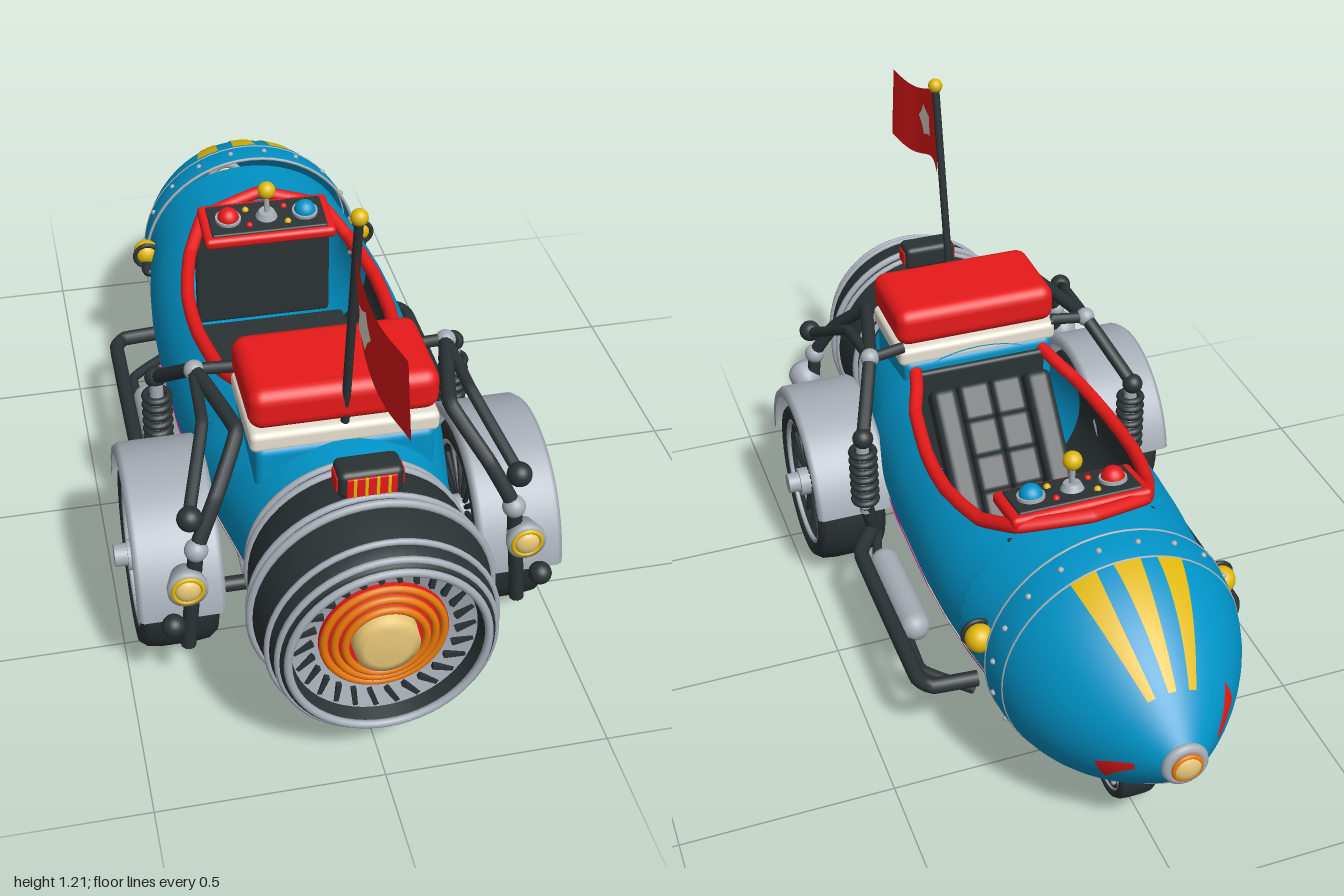
import * as THREE from 'three';
import { RoundedBoxGeometry } from 'three/addons/geometries/RoundedBoxGeometry.js';

const mat = (name, color) => new THREE.MeshStandardMaterial({ name, color, side: THREE.DoubleSide });
const V = (x, y, z) => new THREE.Vector3(x, y, z);
const CY = 0.36; // height of the hull axis

// linear lookup in a table of [z, value]
function lerpTable(t, z) {
  if (z <= t[0][0]) return t[0][1];
  for (let i = 1; i < t.length; i++) {
    if (z <= t[i][0]) return THREE.MathUtils.mapLinear(z, t[i - 1][0], t[i][0], t[i - 1][1], t[i][1]);
  }
  return t[t.length - 1][1];
}
const RX = [[-0.62, 0.272], [-0.5, 0.285], [-0.4, 0.3], [-0.28, 0.311], [-0.15, 0.315], [0.1, 0.31], [0.35, 0.29], [0.55, 0.25], [0.68, 0.225]];
const RY = [[-0.62, 0.23], [-0.45, 0.24], [-0.15, 0.25], [0.35, 0.245], [0.55, 0.235], [0.68, 0.222]];
const OPEN = [[-0.4, 0.44], [-0.3, 0.7], [-0.15, 0.84], [0, 0.87], [0.2, 0.78], [0.33, 0.6]];
const hull = (z, th, k = 1) => V(k * lerpTable(RX, z) * Math.sin(th), CY + k * lerpTable(RY, z) * Math.cos(th), z);
const noseR = z => 0.292 * (1 - ((-0.55 - z) / 0.46) ** 2);
const flagX = z => -0.018 * Math.sin((z - 0.64) * 11.5);

// grid surface from a rule fn(u, v)
function surface(nu, nv, fn) {
  const g = new THREE.PlaneGeometry(1, 1, nu, nv), p = g.attributes.position;
  for (let i = 0; i < p.count; i++) {
    const q = fn(p.getX(i) + 0.5, p.getY(i) + 0.5);
    p.setXYZ(i, q.x, q.y, q.z);
  }
  g.computeVertexNormals();
  return g;
}
const lathe = (pts, seg = 48, a = 0, l = Math.PI * 2) => new THREE.LatheGeometry(pts.map(p => new THREE.Vector2(...p)), seg, a, l);

export function createModel() {
  const root = new THREE.Group();
  const blue = mat('hull blue', 0x0094c8), red = mat('red', 0xe81a1a), silver = mat('silver', 0xa6adb6);
  const dark = mat('charcoal', 0x2b3335), cream = mat('cream', 0xe8e1d2), yellow = mat('yellow', 0xe0b80a);
  const pink = mat('magenta', 0xd0148c), orange = mat('orange', 0xec7a0a), gold = mat('pale gold', 0xe6c678);
  const plate = mat('floor grey', 0x6c7175);

  const add = (name, geo, m, x = 0, y = 0, z = 0, parent = root) => {
    const o = new THREE.Mesh(geo, m);
    o.name = name; o.position.set(x, y, z); parent.add(o);
    return o;
  };
  const box = (name, w, h, d, m, x, y, z, r = 0.01) => add(name, new RoundedBoxGeometry(w, h, d, 3, r), m, x, y, z);
  const ball = (name, r, m, x, y, z) => add(name, new THREE.SphereGeometry(r, 20, 14), m, x, y, z);
  const ring = (name, r, t, m, z, y = CY, x = 0) => add(name, new THREE.TorusGeometry(r, t, 10, 56), m, x, y, z);
  const tube = (name, pts, r, m) => add(name, new THREE.TubeGeometry(
    new THREE.CatmullRomCurve3(pts.map(p => V(...p)), false, 'catmullrom', 0.1), pts.length * 10, r, 10), m);
  const rod = (name, r, len, axis, m, x, y, z, seg = 24) => {
    const o = add(name, new THREE.CylinderGeometry(r, r, len, seg), m, x, y, z);
    if (axis === 'x') o.rotation.z = Math.PI / 2;
    if (axis === 'z') o.rotation.x = Math.PI / 2;
    return o;
  };

  // hull in three lengths, the middle one open for the cockpit
  const shell = (z0, z1, open, k) => surface(56, 24, (u, v) => {
    const z = z0 + (z1 - z0) * v, a = open ? lerpTable(OPEN, z) : 0;
    return hull(z, a + (Math.PI * 2 - 2 * a) * u, k);
  });
  add('hullFront', shell(-0.62, -0.4, false, 1), blue);
  add('hullMiddle', shell(-0.4, 0.33, true, 1), blue);
  add('hullRear', shell(0.33, 0.68, false, 1), blue);
  add('cockpitLining', shell(-0.4, 0.33, true, 0.96), dark);
  box('cockpitFloor', 0.44, 0.02, 0.72, dark, 0, 0.24, -0.03);
  box('frontBulkhead', 0.36, 0.3, 0.02, dark, 0, 0.41, -0.385);
  box('rearBulkhead', 0.34, 0.3, 0.02, dark, 0, 0.42, 0.32);
  box('underPlate', 0.4, 0.02, 1.1, plate, 0, 0.11, 0.03, 0.004);

  // cockpit rim
  const rim = [[0.17, 0.565, 0.34]];
  for (let z = 0.28; z > -0.36; z -= 0.08) { const q = hull(z, lerpTable(OPEN, z), 1.01); rim.push([q.x, q.y, z]); }
  rim.push([0.155, 0.59, -0.385]);
  const rimLeft = rim.slice().reverse().map(p => [-p[0], p[1], p[2]]);
  tube('cockpitRim', [...rim, [0, 0.615, -0.435], ...rimLeft], 0.017, red);

  // dashboard
  const dash = new THREE.Group();
  dash.name = 'dashboard'; dash.position.set(0, 0.592, -0.325); dash.rotation.x = 0.16; root.add(dash);
  add('dashFrame', new RoundedBoxGeometry(0.34, 0.03, 0.15, 3, 0.012), red, 0, 0, 0, dash);
  add('dashPanel', new RoundedBoxGeometry(0.3, 0.02, 0.118, 2, 0.005), dark, 0, 0.01, 0, dash);
  [[-0.1, red], [0.1, blue]].forEach(([x, m]) => {
    add('buttonRing', new THREE.CylinderGeometry(0.033, 0.033, 0.012, 24), silver, x, 0.022, 0, dash);
    add('button', new THREE.SphereGeometry(0.028, 20, 12), m, x, 0.026, 0, dash);
  });
  for (const x of [-0.05, 0.05]) for (const z of [-0.03, 0.03]) add('smallLight', new THREE.SphereGeometry(0.009, 10, 8), x * z > 0 ? yellow : red, x, 0.02, z, dash);
  add('leverBase', new THREE.CylinderGeometry(0.02, 0.03, 0.02, 20), silver, 0, 0.026, 0, dash);
  rod('leverStem', 0.007, 0.08, 'y', silver, 0, 0.645, -0.32);
  ball('leverKnob', 0.023, yellow, 0, 0.688, -0.32);

  // seat made of pads
  for (let r = 0; r < 4; r++) for (const s of [-1, 1]) {
    const o = box('seatPad', 0.085, 0.1, 0.05, dark, s * 0.043, 0.29 + r * 0.07, 0.06 + r * 0.06, 0.015);
    o.rotation.x = 0.7;
  }
  for (const s of [-1, 1]) {
    const o = box('seatBolster', 0.07, 0.34, 0.07, dark, s * 0.125, 0.41, 0.16, 0.02);
    o.rotation.x = 0.7;
  }

  // luggage seat behind the cockpit
  box('cushionBase', 0.4, 0.13, 0.26, blue, 0, 0.53, 0.46, 0.02);
  box('cushionSkirt', 0.42, 0.05, 0.25, cream, 0, 0.605, 0.46, 0.015);
  box('redCushion', 0.42, 0.1, 0.245, red, 0, 0.683, 0.46, 0.032);

  // nose cone, open at the back
  const prof = [];
  for (let i = 0; i <= 24; i++) { const z = -0.55 - 0.43 * i / 24; prof.push([noseR(z), -z]); }
  add('noseCone', lathe(prof, 56).rotateX(-Math.PI / 2), blue, 0, CY, 0);
  ring('noseLip', 0.29, 0.004, silver, -0.55);
  ring('noseSeam', noseR(-0.635) - 0.001, 0.003, silver, -0.635);
  for (let i = 0; i < 20; i++) {
    const a = (i + 0.5) / 20 * Math.PI * 2;
    ball('rivet', 0.007, silver, 0.29 * Math.sin(a), CY + 0.29 * Math.cos(a), -0.592);
  }
  ring('noseCapRing', 0.04, 0.013, silver, -0.972);
  const tip = ball('noseTip', 0.036, gold, 0, CY, -0.98);
  tip.scale.z = 0.55;
  ring('noseTipRing', 0.03, 0.006, orange, -0.986);
  // painted nose patches: angle from the top, half widths at both ends
  const nosePatch = (name, a, w0, w1, z0, z1, m, skew = 0) => add(name, surface(8, 16, (u, v) => {
    const z = z0 + (z1 - z0) * v, r = noseR(z) + 0.003;
    const th = a + skew * v + (u * 2 - 1) * (w0 + (w1 - w0) * v) / r;
    return V(r * Math.sin(th), CY + r * Math.cos(th), z);
  }), m);
  for (const s of [-1, 0, 1]) nosePatch('noseStripe', s * 0.36, 0.031, 0.009, -0.64, -0.895, yellow);
  nosePatch('noseMarkRight', 2.05, 0.03, 0.008, -0.86, -0.93, red, -0.3);
  nosePatch('noseMarkLeft', -1.2, 0.03, 0.008, -0.86, -0.93, red, -0.3);
  nosePatch('noseBellyWedge', Math.PI, 0.06, 0.01, -0.74, -0.96, cream);

  // jet engine at the +z end
  add('engineShell', lathe([[0.2, 0.63], [0.228, 0.65], [0.245, 0.72], [0.257, 0.8], [0.257, 0.85], [0.241, 0.94], [0.225, 0.985], [0.214, 0.988], [0.205, 0.92]], 56).rotateX(Math.PI / 2), dark, 0, CY, 0);
  [[0.234, 0.008, 0.665], [0.24, 0.009, 0.695], [0.258, 0.008, 0.81], [0.262, 0.009, 0.838], [0.244, 0.007, 0.935], [0.229, 0.008, 0.972], [0.211, 0.009, 0.989]]
    .forEach(([r, t, z]) => ring('engineRing', r, t, silver, z));
  add('intakeThroat', lathe([[0.206, 0.985], [0.196, 0.95]], 56).rotateX(Math.PI / 2), dark, 0, CY, 0);
  add('turbineFace', lathe([[0.202, 0.955], [0.135, 0.935]], 56).rotateX(Math.PI / 2), silver, 0, CY, 0);
  for (let i = 0; i < 26; i++) {
    const a = i / 26 * Math.PI * 2;
    const o = add('turbineSlot', new THREE.BoxGeometry(0.011, 0.046, 0.012), dark, 0.172 * Math.cos(a), CY + 0.172 * Math.sin(a), 0.947);
    o.rotation.z = a - Math.PI / 2 + 0.45;
  }
  rod('burnerDisc', 0.138, 0.02, 'z', red, 0, CY, 0.935, 48);
  [0.128, 0.107, 0.086].forEach((r, i) => ring('burnerRing', r, 0.0085, orange, 0.946 + i * 0.008));
  add('burnerCone', lathe([[0.118, 0.944], [0.078, 0.964]], 48).rotateX(Math.PI / 2), red, 0, CY, 0);
  add('burnerCore', lathe([[0.071, 0.94], [0.069, 0.978], [0.05, 0.983], [0, 0.985]], 40).rotateX(Math.PI / 2), gold, 0, CY, 0);

  // tail light
  box('tailLightCase', 0.138, 0.065, 0.07, dark, 0, 0.65, 0.775, 0.015);
  box('tailLightLens', 0.146, 0.04, 0.045, red, 0, 0.648, 0.775, 0.005);
  box('tailLightFace', 0.106, 0.046, 0.006, red, 0, 0.649, 0.811, 0.002);
  for (let i = 0; i < 4; i++) box('tailLightStripe', 0.007, 0.046, 0.006, yellow, (i - 1.5) * 0.024, 0.649, 0.813, 0.001);

  // flag on its pole
  tube('flagPole', [[0, 0.6, 0.565], [0, 0.72, 0.578], [0, 1.18, 0.648]], 0.01, dark);
  ball('poleKnob', 0.018, yellow, 0, 1.19, 0.65);
  const flagY = (u, v) => 0.955 + 0.185 * v - 0.055 * u + 0.012 * Math.sin(u * 7);
  add('flag', surface(30, 6, (u, v) => V(flagX(0.64 + 0.36 * u) + 0.012 * (0.5 - v), flagY(u, v), 0.64 + 0.36 * u)), red);
  for (const s of [-1, 1]) {
    const g = new THREE.CircleGeometry(0.046, 10), p = g.attributes.position;
    for (let i = 0; i < p.count; i++) {
      const k = i % 2 ? 1 : 0.72, z = 0.79 + p.getX(i) * k;
      p.setXYZ(i, flagX(z) + s * 0.005, 1.03 + p.getY(i) * k, z);
    }
    g.computeVertexNormals();
    add('flagEmblem', g, cream);
  }

  // wheel with spokes, axle along x
  const wheel = (name, x, y, z, r, hw, spokes, thick, spokeMat) => {
    const w = new THREE.Group();
    w.name = name; w.position.set(x, y, z); root.add(w);
    const ri = r * 0.7, put = (n, g, m) => add(n, g.rotateZ(Math.PI / 2), m, 0, 0, 0, w);
    put('tyre', lathe([[ri, -hw * 0.7], [r * 0.8, -hw * 0.98], [r * 0.92, -hw], [r * 0.98, -hw * 0.8], [r, -hw * 0.4], [r, hw * 0.4], [r * 0.98, hw * 0.8], [r * 0.92, hw], [r * 0.8, hw * 0.98], [ri, hw * 0.7], [ri, -hw * 0.7]], 48), dark);
    put('hub', new THREE.CylinderGeometry(r * 0.17, r * 0.17, hw * 2.1, 20), silver);
    for (const s of [-1, 1]) {
      add('rim', new THREE.TorusGeometry(r * 0.76, r * 0.03, 10, 40).rotateY(Math.PI / 2), silver, s * hw * 0.88, 0, 0, w);
      for (let i = 0; i < spokes; i++) {
        const o = add('spoke', new THREE.CylinderGeometry(thick, thick, ri, 6).translate(0, ri / 2, 0), spokeMat, s * hw * 0.7, 0, 0, w);
        o.rotation.x = i / spokes * Math.PI * 2;
      }
    }
  };
  wheel('noseWheel', 0, 0.098, -0.665, 0.098, 0.045, 9, 0.006, silver);
  rod('noseWheelAxle', 0.014, 0.15, 'x', silver, 0, 0.098, -0.665);
  rod('rearAxle', 0.018, 0.62, 'x', dark, 0, 0.14, 0.5);

  // everything that is mirrored left and right
  for (const s of [-1, 1]) {
    const P = pts => pts.map(p => [s * p[0], p[1], p[2]]);
    wheel('rearWheel', s * 0.383, 0.218, 0.44, 0.215, 0.088, 16, 0.0065, dark);
    rod('hubCap', 0.026, 0.24, 'x', silver, s * 0.385, 0.22, 0.44);
    add('fender', lathe([[0.232, -0.097], [0.25, -0.097], [0.258, -0.085], [0.258, 0.085], [0.25, 0.097], [0.232, 0.097]], 40, 0.1, 2.85).rotateZ(Math.PI / 2), silver, s * 0.383, 0.218, 0.44);
    // side stripes
    const strip = (name, y0, y1, m) => add(name, surface(40, 3, (u, v) => {
      const z = -0.54 + 1.16 * u, y = y0 + (y1 - y0) * v;
      const q = hull(z, Math.acos((y - CY) / lerpTable(RY, z)), 1.012);
      return V(s * q.x, q.y, z);
    }), m);
    strip('magentaStripe', 0.27, 0.299, pink);
    strip('creamStripe', 0.238, 0.27, cream);
    // upper frame and suspension
    tube('upperFrame', P([[0.36, 0.51, 0.17], [0.29, 0.635, 0.33], [0.235, 0.635, 0.56], [0.3, 0.54, 0.66], [0.35, 0.44, 0.7], [0.375, 0.17, 0.7]]), 0.017, dark);
    tube('frameBrace', P([[0.2, 0.64, 0.34], [0.29, 0.635, 0.33], [0.3, 0.62, 0.5], [0.36, 0.52, 0.68]]), 0.014, dark);
    ball('frontJoint', 0.024, silver, s * 0.29, 0.635, 0.33);
    ball('springJoint', 0.026, dark, s * 0.36, 0.51, 0.17);
    ball('rearJoint', 0.026, silver, s * 0.35, 0.44, 0.7);
    ball('rearBuffer', 0.028, dark, s * 0.36, 0.52, 0.69);
    rod('shockAbsorber', 0.016, 0.22, 'y', silver, s * 0.36, 0.39, 0.18);
    for (let i = 0; i < 7; i++) add('springCoil', new THREE.TorusGeometry(0.028, 0.009, 8, 20).rotateX(Math.PI / 2), dark, s * 0.36, 0.32 + i * 0.024, 0.18);
    tube('suspensionArm', P([[0.36, 0.3, 0.18], [0.34, 0.21, 0.2], [0.3, 0.14, 0.5]]), 0.018, dark);
    // tail lamps on the fenders
    add('lampCase', lathe([[0, 0.67], [0.03, 0.68], [0.044, 0.72], [0.044, 0.735], [0.034, 0.735]], 28).rotateX(Math.PI / 2), silver, s * 0.375, CY, 0);
    ring('lampBezel', 0.032, 0.005, yellow, 0.736, CY, s * 0.375);
    const lens = ball('lampLens', 0.028, gold, s * 0.375, CY, 0.735);
    lens.scale.z = 0.5;
    ball('lampBracket', 0.026, dark, s * 0.41, 0.27, 0.74);
    // running pipes and muffler
    tube('sidePipe', P([[0.34, 0.21, 0.2], [0.4, 0.21, 0.1], [0.4, 0.21, -0.38], [0.375, 0.21, -0.42], [0.27, 0.21, -0.43]]), 0.019, dark);
    tube('lowerPipe', P([[0.3, 0.15, 0.3], [0.345, 0.155, 0.15], [0.37, 0.16, -0.3], [0.27, 0.15, -0.4]]), 0.013, dark);
    add('muffler', new THREE.CapsuleGeometry(0.038, 0.25, 6, 18).rotateX(Math.PI / 2), silver, s * 0.345, 0.185, -0.05);
    rod('plateRail', 0.01, 1.1, 'z', silver, s * 0.2, 0.115, 0.03);
    // amber side lamps by the nose
    tube('sideLampBracket', P([[0.26, 0.36, -0.49], [0.295, 0.37, -0.495], [0.295, 0.41, -0.505]]), 0.014, dark);
    ball('sideLamp', 0.033, yellow, s * 0.293, 0.415, -0.52);
    ring('sideLampRing', 0.032, 0.006, dark, -0.5, 0.415, s * 0.293);
  }
  return root;
}
